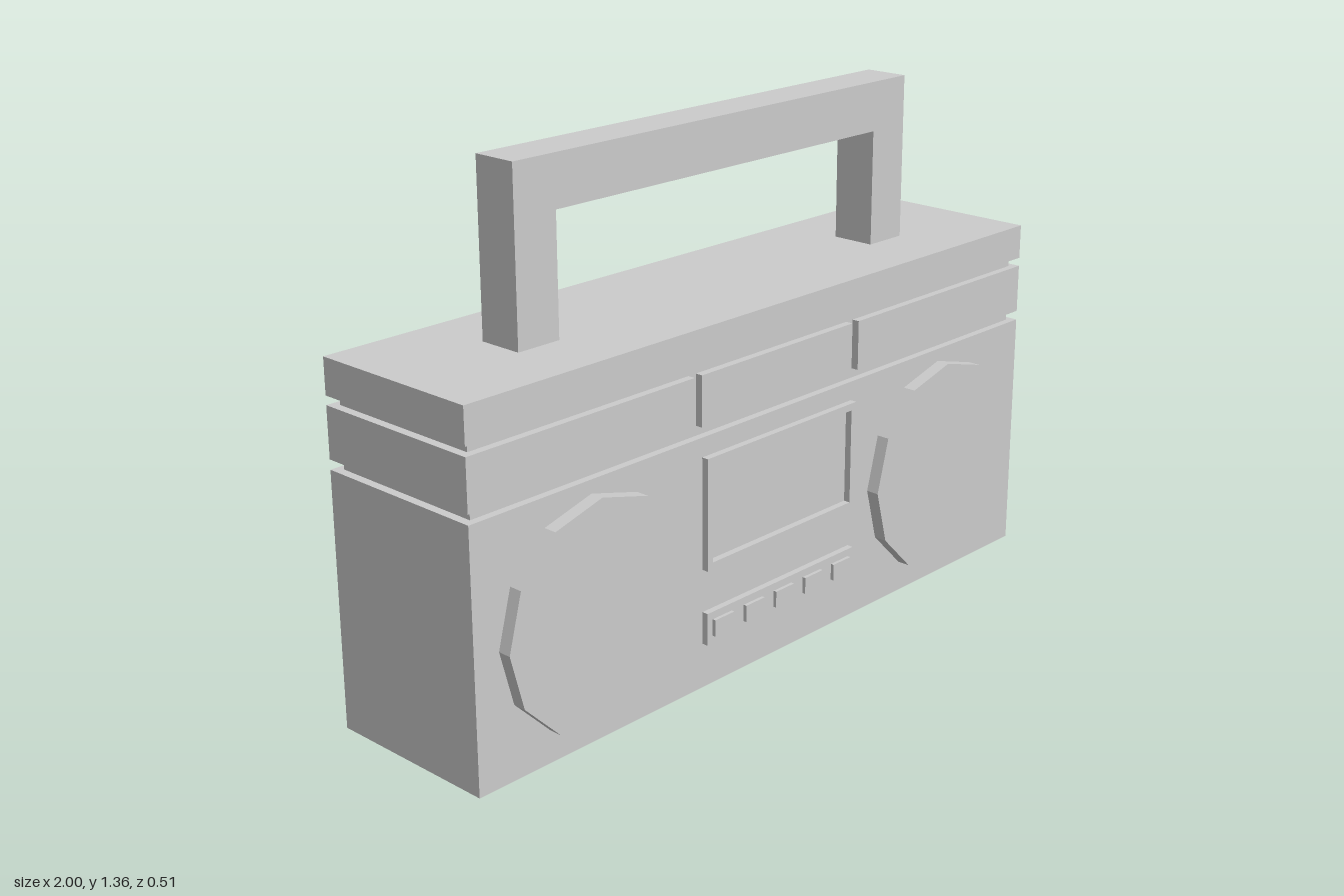
import * as THREE from 'three';

const BACK = -0.255, FRONT = 0.22;

export function createModel() {
  const group = new THREE.Group();
  const material = new THREE.MeshStandardMaterial({ color: 0xcccccc, flatShading: true });

  const add = (name, geometry) => {
    const mesh = new THREE.Mesh(geometry, material);
    mesh.name = name;
    group.add(mesh);
    return mesh;
  };

  // Box given by its extents on each axis
  const box = (name, x0, x1, y0, y1, z0, z1) =>
    add(name, new THREE.BoxGeometry(x1 - x0, y1 - y0, z1 - z0))
      .position.set((x0 + x1) / 2, (y0 + y1) / 2, (z0 + z1) / 2);

  const polygon = (points) => new THREE.Shape(points.map(([x, y]) => new THREE.Vector2(x, y)));
  const rect = (x0, x1, y0, y1) => polygon([[x0, y0], [x1, y0], [x1, y1], [x0, y1]]);
  const extrude = (shape, depth) => new THREE.ExtrudeGeometry(shape, { depth, bevelEnabled: false });

  // Case: lower body and lid, separated by inset grooves
  box('body', -1, 1, 0, 0.655, BACK, FRONT);
  box('lowerGroove', -0.978, 0.978, 0.655, 0.68, BACK + 0.022, FRONT - 0.02);
  box('upperGroove', -0.978, 0.978, 0.81, 0.833, BACK + 0.022, FRONT - 0.02);
  box('lid', -1, 1, 0.833, 0.925, BACK, FRONT);

  // Middle band: plan outline with two vertical slots cut in its front
  const slot = FRONT - 0.02;
  const band = polygon([
    [-1, -BACK], [-1, -FRONT],
    [-0.303, -FRONT], [-0.303, -slot], [-0.278, -slot], [-0.278, -FRONT],
    [0.275, -FRONT], [0.275, -slot], [0.3, -slot], [0.3, -FRONT],
    [1, -FRONT], [1, -BACK],
  ]);
  const bandMesh = add('middleBand', extrude(band, 0.13));
  bandMesh.rotation.x = -Math.PI / 2;
  bandMesh.position.y = 0.68;

  // Twelve-sided speakers
  for (const [name, side] of [['leftSpeaker', 1], ['rightSpeaker', -1]]) {
    const disc = new THREE.CylinderGeometry(0.288, 0.288, 0.035, 12);
    disc.rotateX(Math.PI / 2);
    add(name, disc).position.set(side * 0.64, 0.333, FRONT + 0.0175);
  }

  // Raised frame around the cassette window
  const frame = rect(-0.278, 0.275, 0.315, 0.605);
  frame.holes.push(rect(-0.26, 0.257, 0.334, 0.586));
  add('cassetteFrame', extrude(frame, 0.018)).position.z = FRONT;

  // Button plate with five keys
  box('buttonPlate', -0.278, 0.275, 0.118, 0.203, FRONT, FRONT + 0.017);
  for (let i = 0; i < 5; i++) {
    const x = -0.002 + (i - 2) * 0.112;
    box('button', x - 0.034, x + 0.034, 0.139, 0.183, FRONT + 0.017, FRONT + 0.026);
  }

  // Carrying handle
  const handle = polygon([
    [-0.688, 0.925], [-0.563, 0.925], [-0.563, 1.23], [0.563, 1.23],
    [0.563, 0.925], [0.688, 0.925], [0.688, 1.36], [-0.688, 1.36],
  ]);
  add('handle', extrude(handle, 0.12)).position.z = -0.077;

  return group;
}
